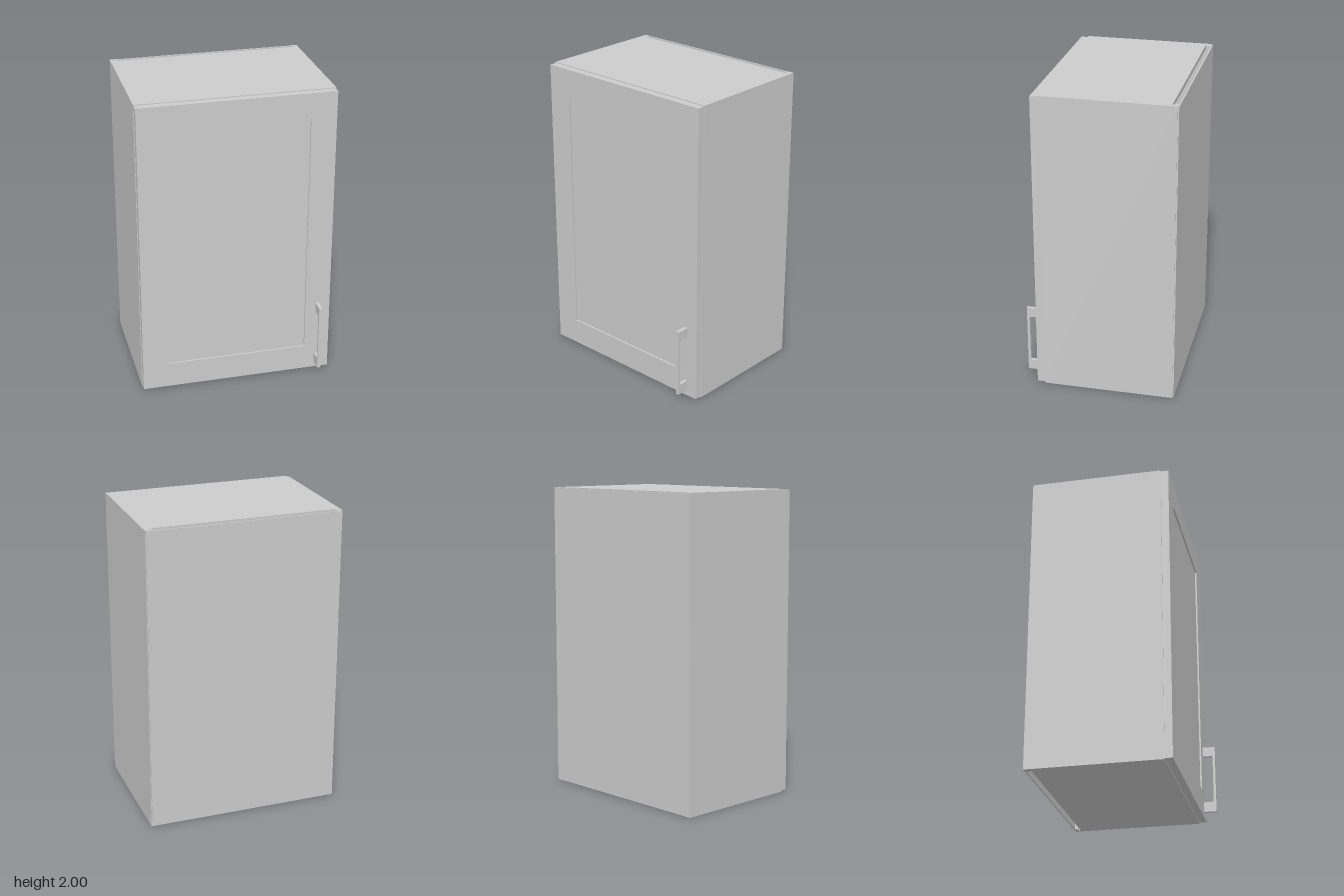
import * as THREE from 'three';

const material = new THREE.MeshStandardMaterial({ color: 0xcccccc, flatShading: true });

// Rectangular outline, used for both contours and holes
function rect(path, x0, y0, x1, y1) {
  path.moveTo(x0, y0);
  path.lineTo(x1, y0);
  path.lineTo(x1, y1);
  path.lineTo(x0, y1);
  path.closePath();
  return path;
}

export function createModel() {
  const cabinet = new THREE.Group();
  cabinet.name = 'wallCabinet';

  const add = (name, geometry, parent = cabinet) => {
    const mesh = new THREE.Mesh(geometry, material);
    mesh.name = name;
    parent.add(mesh);
    return mesh;
  };

  // Box given by its minimum and maximum corners
  const board = (name, x0, x1, y0, y1, z0, z1, parent) => {
    const mesh = add(name, new THREE.BoxGeometry(x1 - x0, y1 - y0, z1 - z0), parent);
    mesh.position.set((x0 + x1) / 2, (y0 + y1) / 2, (z0 + z1) / 2);
    return mesh;
  };

  // Side boards, each with a grooved strip along the rear edge
  for (const s of [-1, 1]) {
    const side = s < 0 ? 'right' : 'left';
    const mirrored = (name, a, b, y0, y1, z0, z1) =>
      board(side + name, Math.min(s * a, s * b), Math.max(s * a, s * b), y0, y1, z0, z1);
    mirrored('SidePanel', 0.613, 0.64, 0, 2, -0.49, 0.366);
    mirrored('RearStrip', 0.592, 0.613, 0, 2, -0.49, -0.464);
  }

  // Top and bottom stop short of the back, leaving a slot
  board('topPanel', -0.613, 0.613, 1.97, 2, -0.453, 0.366);
  board('bottomPanel', -0.613, 0.613, 0, 0.03, -0.453, 0.366);
  board('backPanel', -0.635, 0.635, 0.004, 1.996, -0.498, -0.49);

  // Door: a frame around a slightly recessed panel
  const door = new THREE.Group();
  door.name = 'door';
  cabinet.add(door);
  const frame = rect(new THREE.Shape(), -0.636, 0.007, 0.636, 1.994);
  frame.holes.push(rect(new THREE.Path(), -0.468, 0.18, 0.468, 1.828));
  add('doorFrame', new THREE.ExtrudeGeometry(frame, { depth: 0.049, bevelEnabled: false }), door)
    .position.z = 0.366;
  board('doorPanel', -0.468, 0.468, 0.18, 1.828, 0.37, 0.404, door);

  // Bow handle: side profile (x = depth, y = height) extruded across its width
  const d = 0.083, inner = 0.066, low = 0.115, high = 0.44, r = 0.012;
  const profile = new THREE.Shape();
  profile.moveTo(0, 0.047);
  profile.lineTo(d, 0.047);
  profile.lineTo(d, 0.505);
  profile.lineTo(0, 0.505);
  profile.lineTo(0, high);
  profile.lineTo(inner - r, high);
  profile.quadraticCurveTo(inner, high, inner, high - r);
  profile.lineTo(inner, low + r);
  profile.quadraticCurveTo(inner, low, inner - r, low);
  profile.lineTo(0, low);
  profile.closePath();
  const handle = add('handle',
    new THREE.ExtrudeGeometry(profile, { depth: 0.022, bevelEnabled: false, curveSegments: 5 }), door);
  handle.rotation.y = -Math.PI / 2;
  handle.position.set(0.561, 0, 0.415);

  return cabinet;
}
